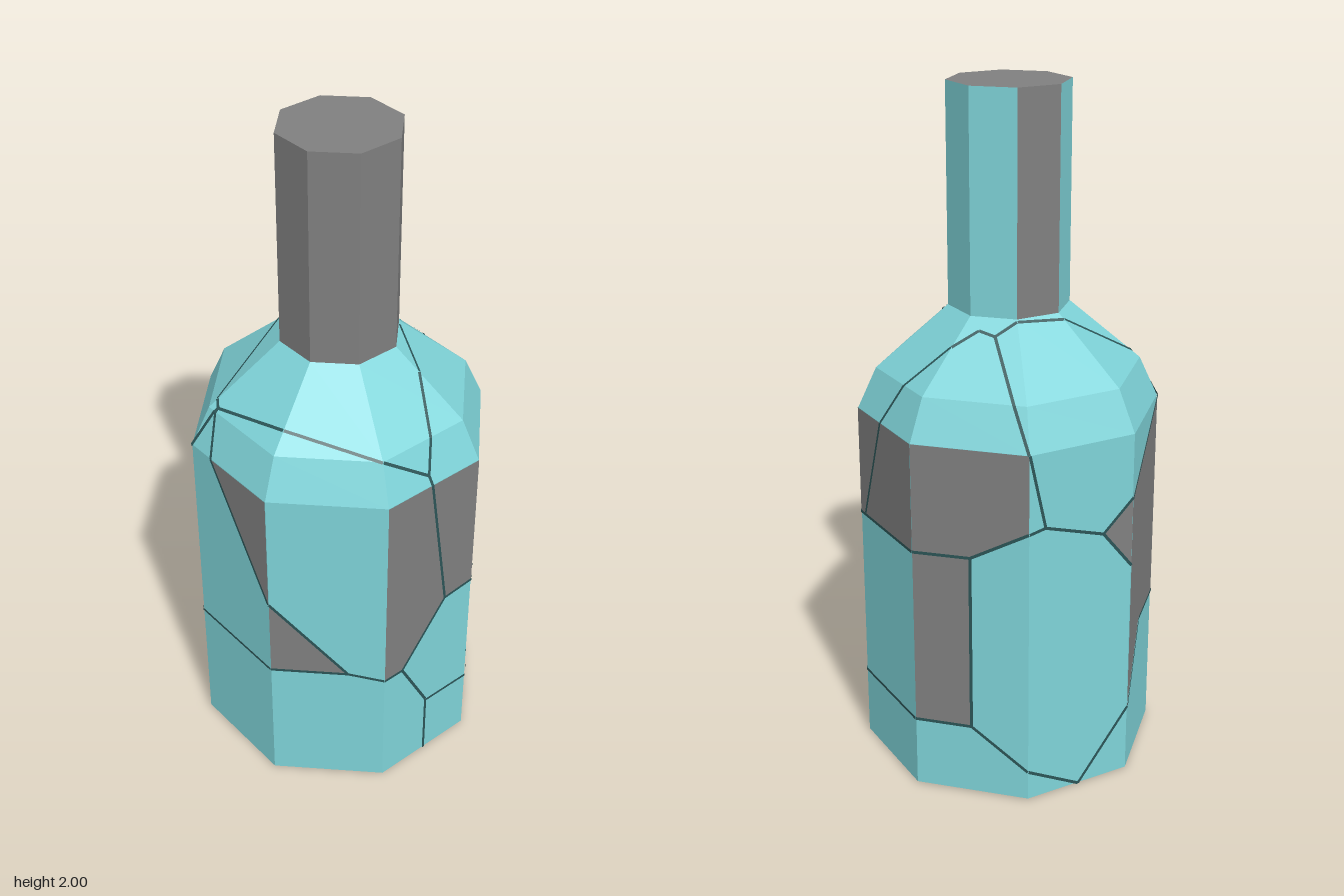
import * as THREE from 'three';

// Bottle profile [radius, height]; sides are numbered 0..8 anticlockwise from the front corner
const PROFILE = [[0.44, 0], [0.44, 1.07], [0.385, 1.19], [0.175, 1.37], [0.175, 2]];
const STEP = Math.PI / 4;

const glass = new THREE.MeshStandardMaterial({ color: 0x7fd4d9, flatShading: true });
const grey = new THREE.MeshStandardMaterial({ color: 0x808080, flatShading: true });
const dark = new THREE.MeshStandardMaterial({ color: 0x2c5557, flatShading: true, side: THREE.DoubleSide });

function radiusAt(y) {
  for (let i = 1; i < PROFILE.length; i++) {
    const [r0, y0] = PROFILE[i - 1], [r1, y1] = PROFILE[i];
    if (y <= y1) return r0 + (r1 - r0) * (y - y0) / (y1 - y0);
  }
  return PROFILE.at(-1)[0];
}

// Point on the faceted surface: k counts corners, fractions run along a flat side
function onSide(k, y, face = Math.floor(k), lift = 0) {
  const r = radiusAt(y), t = k - face;
  const corner = (n) => new THREE.Vector3(Math.sin(n * STEP) * r, y, Math.cos(n * STEP) * r);
  const out = new THREE.Vector3(Math.sin((face + 0.5) * STEP), 0, Math.cos((face + 0.5) * STEP));
  return corner(face).lerp(corner(face + 1), t).addScaledVector(out, lift);
}

function add(group, name, geometry, material) {
  const mesh = new THREE.Mesh(geometry, material);
  mesh.name = name;
  group.add(mesh);
  return mesh;
}

function lathe(points, from = 0, to = 8) {
  const profile = points.map(([r, y]) => new THREE.Vector2(r, y));
  return new THREE.LatheGeometry(profile, to - from, from * STEP, (to - from) * STEP);
}

// Flat polygon laid on one side of the body
function patch(face, outline) {
  const shape = new THREE.Shape(outline.map(([k, y]) => new THREE.Vector2(k, y)));
  const g = new THREE.ShapeGeometry(shape);
  const p = g.attributes.position;
  for (let i = 0; i < p.count; i++) {
    const v = onSide(p.getX(i), p.getY(i), face, 0.0015);
    p.setXYZ(i, v.x, v.y, v.z);
  }
  g.computeVertexNormals();
  return g;
}

// Thin ribbon following the surface, split wherever it crosses an edge
function crack(path, width = 0.0045) {
  const pos = [];
  for (let i = 1; i < path.length; i++) {
    const [k0, y0] = path[i - 1], [k1, y1] = path[i];
    const cuts = [0, 1];
    for (let n = 0; n <= 16; n++) cuts.push((n - k0) / (k1 - k0));
    for (const [, h] of PROFILE) cuts.push((h - y0) / (y1 - y0));
    const ts = cuts.filter((t) => t >= 0 && t <= 1).sort((a, b) => a - b);
    for (let j = 1; j < ts.length; j++) {
      if (ts[j] - ts[j - 1] < 1e-4) continue;
      const at = (t) => [k0 + (k1 - k0) * t, y0 + (y1 - y0) * t];
      const face = Math.floor(at((ts[j] + ts[j - 1]) / 2)[0]);
      const a = onSide(...at(ts[j - 1]), face, 0.003);
      const b = onSide(...at(ts[j]), face, 0.003);
      const out = new THREE.Vector3(Math.sin((face + 0.5) * STEP), 0, Math.cos((face + 0.5) * STEP));
      // tilt the facet normal on the shoulder
      const mid = (a.y + b.y) / 2;
      out.y = (radiusAt(mid - 0.005) - radiusAt(mid + 0.005)) / 0.01 * Math.cos(STEP / 2);
      const s = out.cross(b.clone().sub(a)).setLength(width);
      const q = [a.clone().sub(s), b.clone().sub(s), b.clone().add(s), a.clone().add(s)];
      for (const n of [0, 1, 2, 0, 2, 3]) pos.push(...q[n].toArray());
    }
  }
  const g = new THREE.BufferGeometry();
  g.setAttribute('position', new THREE.Float32BufferAttribute(pos, 3));
  g.computeVertexNormals();
  return g;
}

export function createModel() {
  const bottle = new THREE.Group();
  bottle.name = 'crackedBottle';

  // Body with closed base and shoulder
  add(bottle, 'body', lathe([[0, 0], ...PROFILE.slice(0, 4)]), glass);

  // Neck in wedges of glass and grey, with a flat cap
  const neck = new THREE.Group();
  neck.name = 'neck';
  bottle.add(neck);
  const wedges = [[0, 2, grey], [2, 4, glass], [4, 5, grey], [5, 6, glass], [6, 8, grey]];
  for (const [from, to, mat] of wedges) add(neck, 'neckSides', lathe(PROFILE.slice(3), from, to), mat);
  add(neck, 'neckCap', lathe([[0.175, 2], [0, 2]]), grey);

  // Grey areas where the glass coat is missing
  const patches = [
    [0, [[0, 1.07], [0, 0.41], [0.2, 0.41], [0.68, 0.61], [1, 0.62], [1, 1.07]]],
    [1, [[1, 1.07], [1, 0.62], [2, 0.745], [2, 1.07]]],
    [2, [[2, 1.07], [2, 0.745], [3, 0.75], [3, 1.07]]],
    [3, [[3, 1.07], [3, 0.215], [3.5, 0.215], [3.5, 0.75], [4, 0.84], [4, 1.07]]],
    [4, [[4.71, 0.79], [5, 0.67], [5, 0.88]]],
    [5, [[5, 0.88], [5, 0.21], [5.42, 0.43], [6, 0.43], [6, 1.07]]],
    [6, [[6.27, 1.07], [7, 0.69], [7, 1.07]]],
    [7, [[7, 0.69], [7, 0.43], [7.68, 0.43]]],
  ];
  for (const [face, outline] of patches) add(bottle, 'greyPatch', patch(face, outline), grey);

  // Cracks between the shards
  const cracks = [
    [[4.5, 0], [5, 0.21], [5.42, 0.43], [7.68, 0.43], [8, 0.41], [8.2, 0.41], [8.5, 0.22], [8.5, 0]],
    [[8.5, 0.215], [11.5, 0.215], [12, 0.09], [12.5, 0]],
    [[8.2, 0.41], [8.68, 0.61], [9, 0.62], [10, 0.745], [11.5, 0.75], [12, 0.84], [12.15, 0.85]],
    [[11.5, 0.75], [11.5, 0.215]],
    [[8.68, 0.61], [8.46, 1.1], [8.58, 1.19], [9, 1.31], [9.85, 1.37]],
    [[8.46, 1.1], [8, 1.19], [7, 1.24], [6.1, 1.2], [6.27, 1.07], [7, 0.69], [7.68, 0.43]],
    [[6.1, 1.2], [5, 1.355], [4, 1.365], [3.6, 1.33], [3.88, 1.19], [4, 1.07], [4.15, 0.85], [4.71, 0.79]],
    [[3.6, 1.33], [3.3, 1.34], [3, 1.3], [2.63, 1.19], [2.45, 1.07], [2.1, 0.75]],
    [[5, 0.67], [4.71, 0.79], [5, 0.88], [6, 1.07], [6.1, 1.2]],
  ];
  for (const path of cracks) add(bottle, 'crack', crack(path), dark);

  // Crack across the underside
  const a = onSide(0.5, 0), b = onSide(4.5, 0);
  const seam = add(bottle, 'baseCrack', new THREE.BoxGeometry(0.008, 0.002, a.distanceTo(b)), dark);
  seam.rotation.y = STEP / 2;

  return bottle;
}
